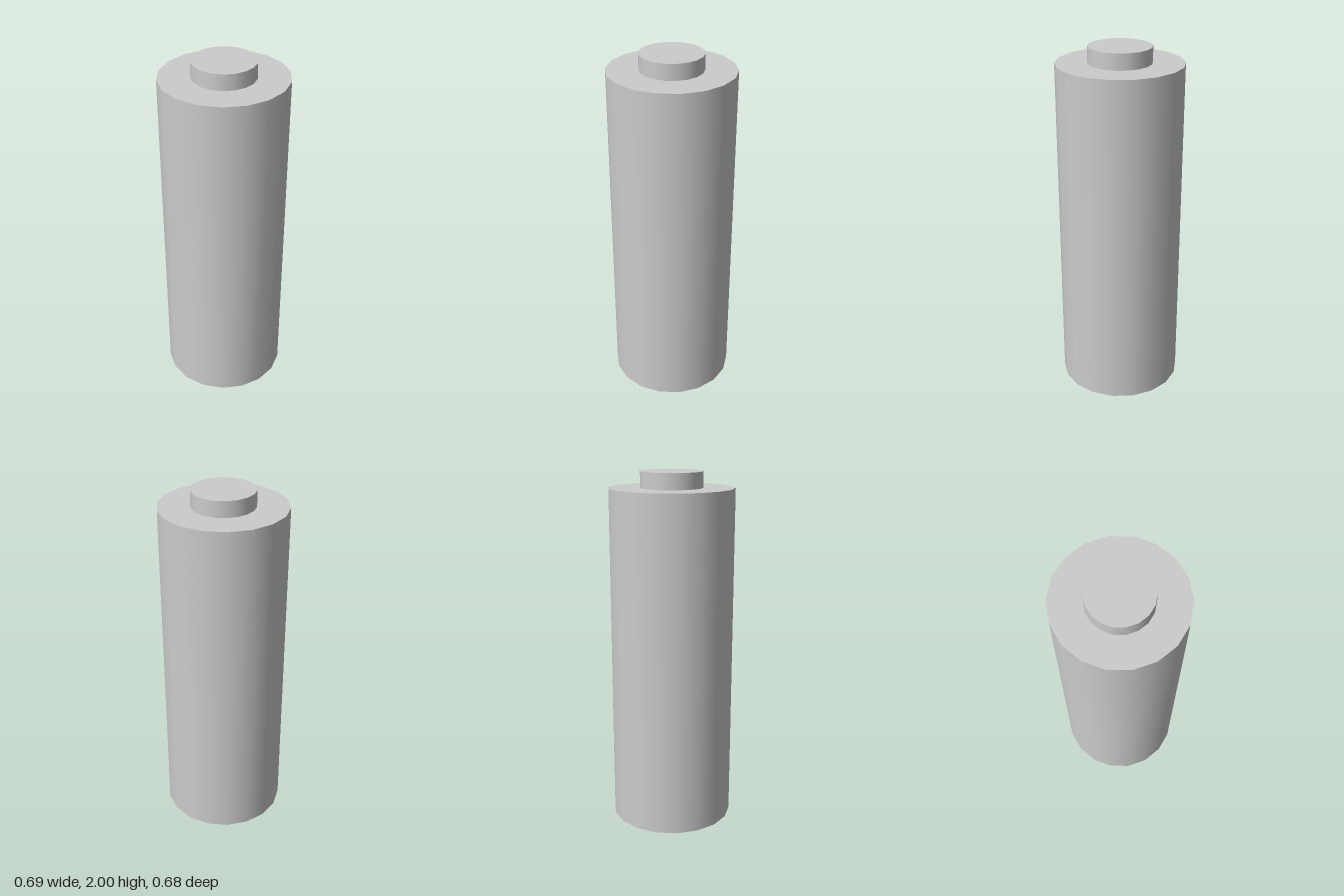
import * as THREE from 'three';

const SIDES = 18;
const material = new THREE.MeshStandardMaterial({ color: 0xcccccc });

// Upright cylinder between two heights, with a corner pointing along +x
function cylinder(name, radius, bottom, top) {
  const geometry = new THREE.CylinderGeometry(
    radius, radius, top - bottom, SIDES, 1, false, Math.PI / 2);
  geometry.translate(0, (bottom + top) / 2, 0);
  const mesh = new THREE.Mesh(geometry, material);
  mesh.name = name;
  return mesh;
}

export function createModel() {
  const group = new THREE.Group();
  group.name = 'battery';
  group.add(
    cylinder('bottomTerminal', 0.171, 0, 0.028),
    cylinder('casing', 0.343, 0.028, 1.913),
    cylinder('topTerminal', 0.171, 1.913, 2),
  );
  return group;
}
